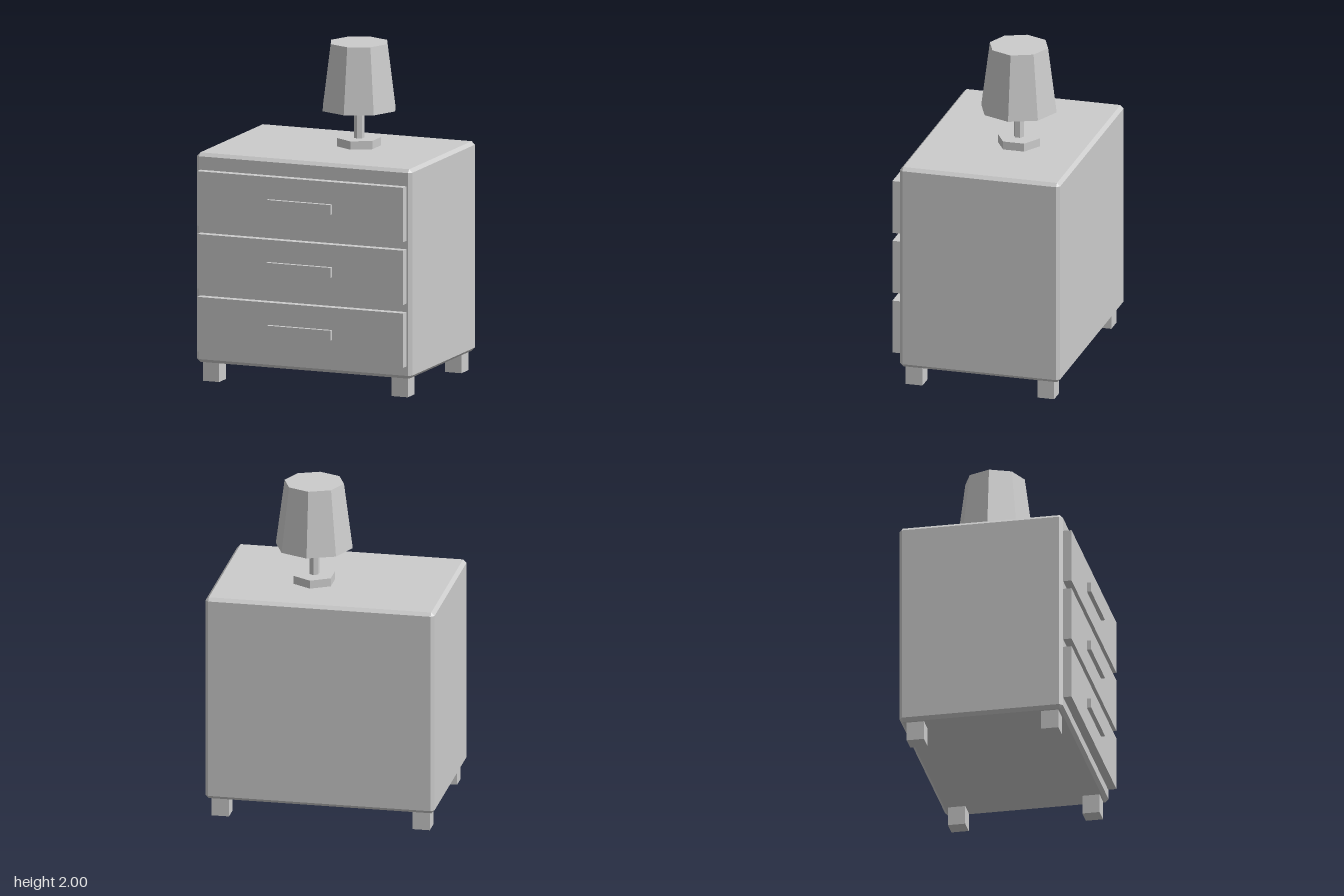
import * as THREE from 'three';
import { ConvexGeometry } from 'three/addons/geometries/ConvexGeometry.js';

const material = new THREE.MeshStandardMaterial({ color: 0xcccccc, flatShading: true });

function add(parent, name, geometry, x, y, z) {
  const mesh = new THREE.Mesh(geometry, material);
  mesh.name = name;
  mesh.position.set(x, y, z);
  parent.add(mesh);
  return mesh;
}

// Box with every edge cut by a flat chamfer
function chamferedBox(w, h, d, c) {
  const points = [];
  for (const sx of [-1, 1]) for (const sy of [-1, 1]) for (const sz of [-1, 1]) {
    const x = w / 2, y = h / 2, z = d / 2;
    points.push(
      new THREE.Vector3(sx * x, sy * (y - c), sz * (z - c)),
      new THREE.Vector3(sx * (x - c), sy * y, sz * (z - c)),
      new THREE.Vector3(sx * (x - c), sy * (y - c), sz * z)
    );
  }
  return new ConvexGeometry(points);
}

export function createModel() {
  const model = new THREE.Group();
  model.name = 'nightstandWithLamp';

  // Cabinet
  add(model, 'cabinet', chamferedBox(1.38, 1.26, 0.985, 0.02), 0, 1.375 - 0.63, -0.0375);

  // Three drawers with bar handles
  for (let i = 0; i < 3; i++) {
    const drawer = new THREE.Group();
    drawer.name = 'drawer' + (i + 1);
    drawer.position.y = 0.355 + i * 0.378;
    add(drawer, 'drawerFront', new THREE.BoxGeometry(1.32, 0.328, 0.07), 0, 0, 0.47);
    add(drawer, 'handle', new THREE.BoxGeometry(0.41, 0.06, 0.03), 0, 0, 0.515);
    model.add(drawer);
  }

  // Four short legs
  for (const x of [-0.605, 0.605]) for (const z of [0.373, -0.437]) {
    add(model, 'leg', new THREE.BoxGeometry(0.104, 0.117, 0.104), x, 0.0585, z);
  }

  // Table lamp
  const lamp = new THREE.Group();
  lamp.name = 'lamp';
  lamp.position.set(0.115, 0, -0.115);
  add(lamp, 'lampBase', new THREE.CylinderGeometry(0.13, 0.13, 0.05, 6), 0, 1.4, 0);
  add(lamp, 'lampStem', new THREE.CylinderGeometry(0.031, 0.031, 0.18, 6), 0, 1.515, 0);
  add(lamp, 'lampShade', new THREE.CylinderGeometry(0.179, 0.232, 0.4, 8), 0, 1.8, 0);
  model.add(lamp);

  return model;
}
